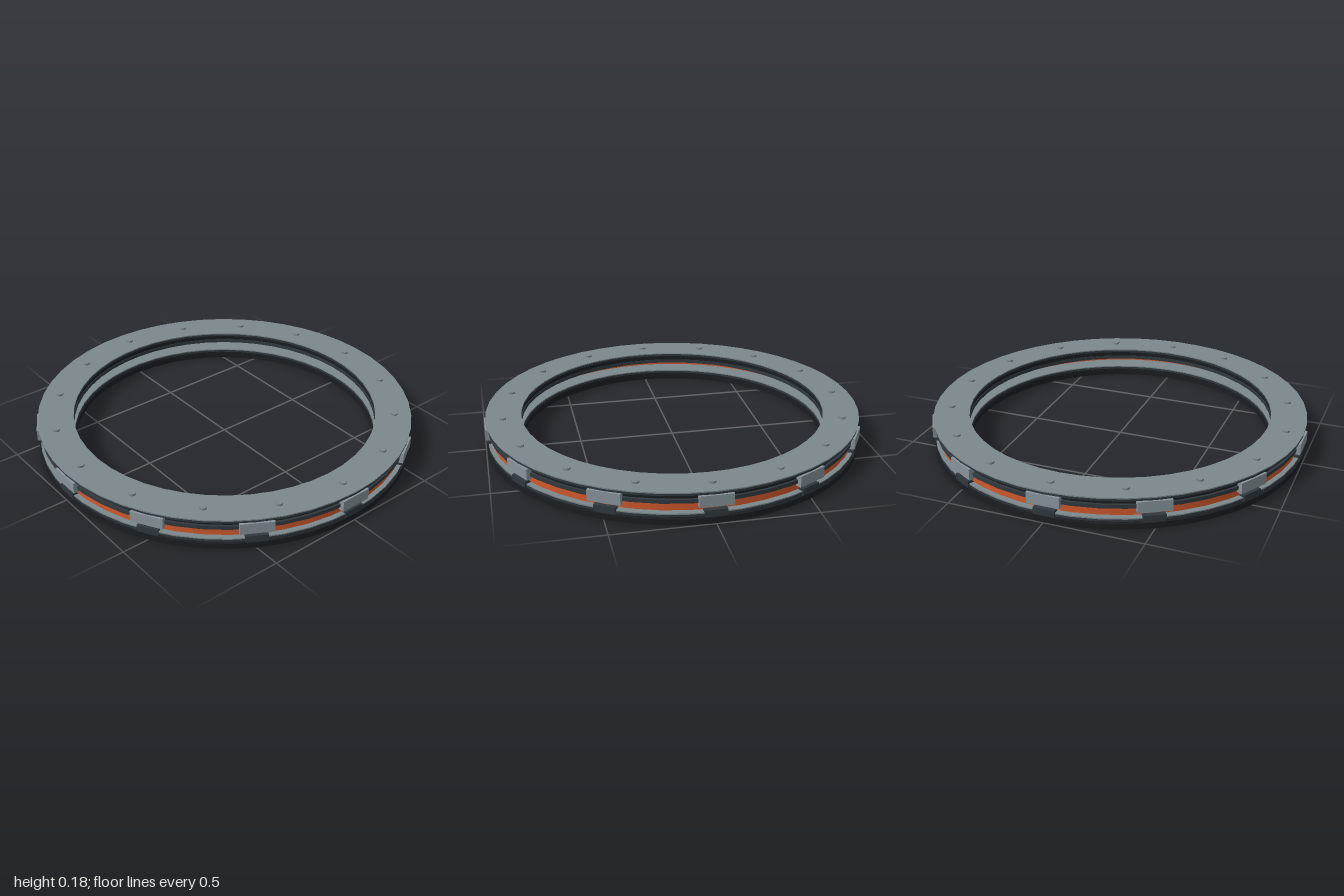
import * as THREE from 'three';
import { toCreasedNormals } from 'three/addons/utils/BufferGeometryUtils.js';

const material = (name, color) => {
  const m = new THREE.MeshStandardMaterial({ color });
  m.name = name;
  return m;
};

export function createModel() {
  const steel = material('steel grey', 0x7c888c);
  const clampSteel = material('clamp grey', 0x88949b);
  const slate = material('dark slate', 0x30393f);
  const black = material('black', 0x1a1e22);
  const orange = material('orange', 0xd2592b);

  const model = new THREE.Group();
  model.name = 'segmentedRing';

  const add = (name, geometry, mat, parent = model) => {
    const mesh = new THREE.Mesh(geometry, mat);
    mesh.name = name;
    parent.add(mesh);
    return mesh;
  };

  // Flat ring with a rectangular section and crisp rims
  const ring = (name, inner, outer, y0, y1, mat) => {
    const section = [[inner, y0], [outer, y0], [outer, y1], [inner, y1], [inner, y0]]
      .map(([r, y]) => new THREE.Vector2(r, y));
    return add(name, toCreasedNormals(new THREE.LatheGeometry(section, 48), 0.6), mat);
  };

  // Lower ring: black base, recessed groove, steel deck
  ring('baseRing', 0.808, 0.995, 0, 0.03, black);
  ring('baseGroove', 0.812, 0.98, 0.03, 0.038, black);
  ring('baseCollar', 0.808, 0.99, 0.038, 0.05, slate);
  ring('lowerDeck', 0.808, 0.99, 0.05, 0.056, steel);

  // Orange core band between the two rings
  ring('coreBand', 0.895, 0.97, 0.063, 0.106, orange);

  // Upper ring: slate collar, black groove, steel cover
  ring('upperCollar', 0.808, 0.985, 0.105, 0.124, slate);
  ring('upperGroove', 0.812, 0.972, 0.124, 0.148, black);
  ring('coverRim', 0.806, 0.993, 0.148, 0.16, slate);
  ring('topCover', 0.806, 0.995, 0.16, 0.166, steel);

  // Twelve clamps around the rim, each with a dark foot below
  const plate = new THREE.BoxGeometry(0.166, 0.058, 0.03);
  const foot = new THREE.BoxGeometry(0.11, 0.034, 0.04);
  for (let i = 0; i < 12; i++) {
    const clamp = new THREE.Group();
    clamp.name = 'rimClamp';
    clamp.rotation.y = (i * Math.PI) / 6;
    add('clampPlate', plate, clampSteel, clamp).position.set(0, 0.118, 0.985);
    add('clampFoot', foot, slate, clamp).position.set(0, 0.052, 0.974);
    model.add(clamp);
  }

  // Sixteen bolt heads on the top cover
  const bolt = toCreasedNormals(new THREE.CylinderGeometry(0.019, 0.019, 0.014, 10), 0.8);
  for (let i = 0; i < 16; i++) {
    const a = (i * Math.PI) / 8;
    add('boltHead', bolt, steel).position.set(0.905 * Math.sin(a), 0.169, 0.905 * Math.cos(a));
  }

  return model;
}
